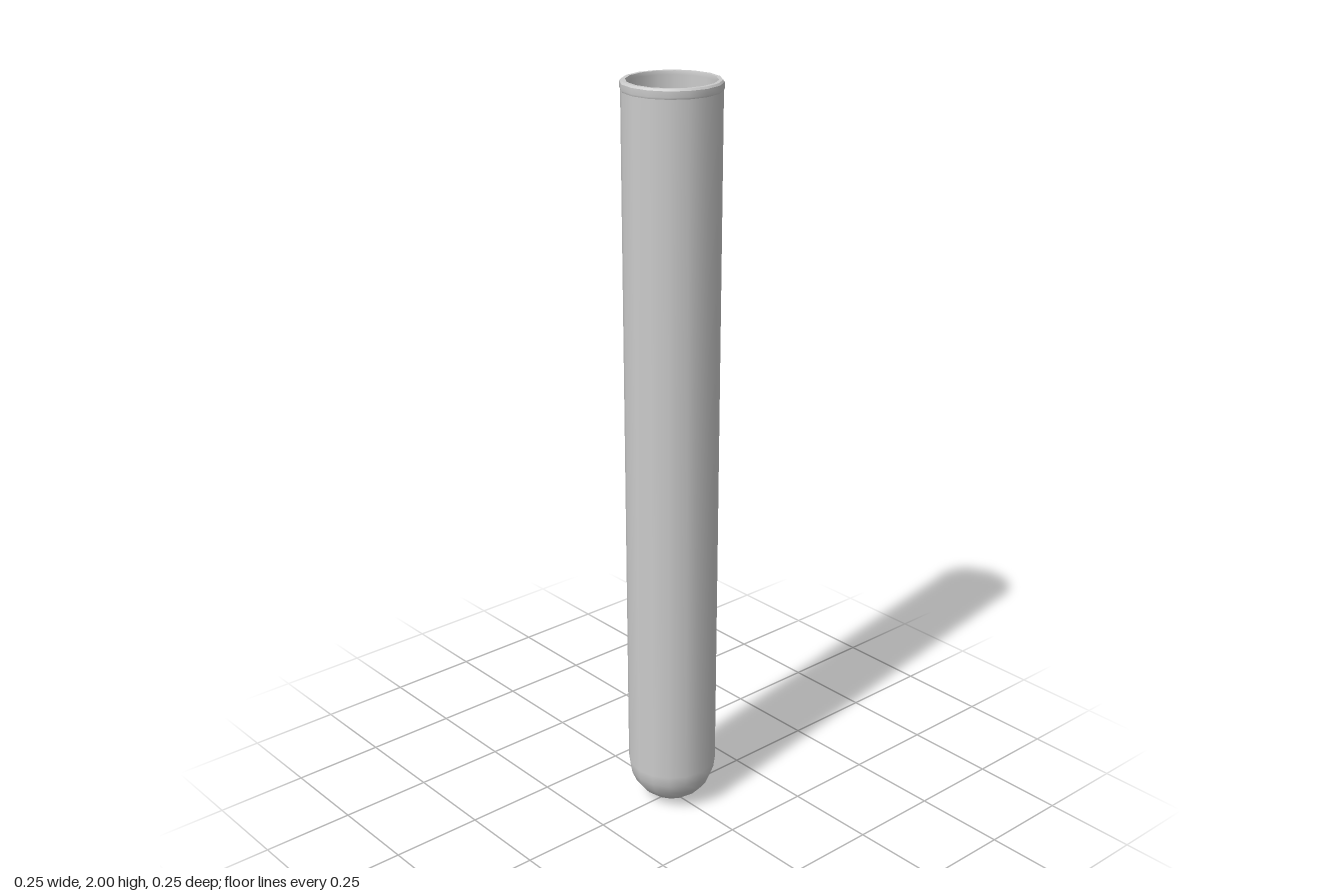
import * as THREE from 'three';

const SIDES = 16;

export function createModel() {
  const model = new THREE.Group();
  model.name = 'testTube';
  const material = new THREE.MeshStandardMaterial({ color: 0xcccccc, side: THREE.DoubleSide });

  const addLathe = (name, points) => {
    const profile = points.map(([r, y]) => new THREE.Vector2(r, y));
    const mesh = new THREE.Mesh(new THREE.LatheGeometry(profile, SIDES), material);
    mesh.name = name;
    model.add(mesh);
  };

  // Rounded bottom of radius r resting at height base, from the pole up to the wall
  const bowl = (r, base, steps = 6) =>
    Array.from({ length: steps + 1 }, (_, i) => {
      const a = (i / steps) * Math.PI / 2;
      return [r * Math.sin(a), base + r * (1 - Math.cos(a))];
    });

  // Outer wall, widening slightly towards the mouth
  addLathe('outerWall', [...bowl(0.12, 0), [0.125, 1.975]]);

  // Lip: small flare, bevelled edge and flat top
  addLathe('lipEdge', [[0.125, 1.975], [0.127, 1.98], [0.127, 1.995]]);
  addLathe('lipBevel', [[0.127, 1.995], [0.123, 2]]);
  addLathe('lipTop', [[0.123, 2], [0.113, 2]]);

  // Inner wall, running from the mouth down to the inner bowl
  addLathe('innerWall', [[0.113, 2], [0.111, 1.99], ...bowl(0.108, 0.012).reverse()]);

  return model;
}
